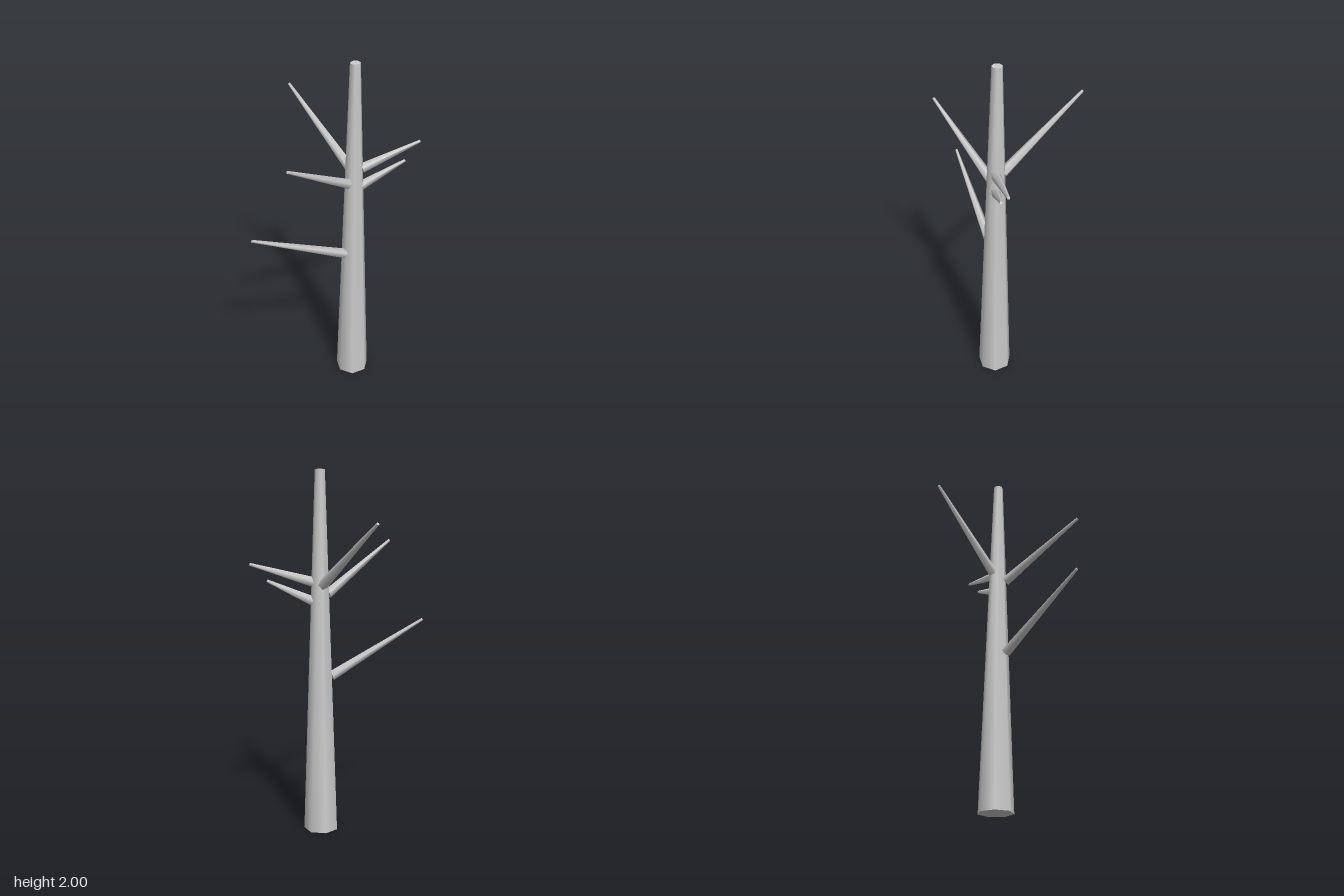
import * as THREE from 'three';

const bark = new THREE.MeshStandardMaterial({ color: 0xcccccc });
bark.name = 'grey bark';

// Tapered limb running from one point to another
function limb(name, from, to, r0, r1, sides, turn = 0) {
  const a = new THREE.Vector3(...from);
  const b = new THREE.Vector3(...to);
  const dir = b.clone().sub(a);
  const geo = new THREE.CylinderGeometry(r1, r0, dir.length(), sides, 1, false, turn);
  const mesh = new THREE.Mesh(geo, bark);
  mesh.name = name;
  mesh.position.copy(a).add(b).multiplyScalar(0.5);
  mesh.quaternion.setFromUnitVectors(new THREE.Vector3(0, 1, 0), dir.normalize());
  return mesh;
}

export function createModel() {
  const tree = new THREE.Group();
  tree.name = 'bareTree';

  // Seven-sided trunk with one corner towards -x
  tree.add(limb('trunk', [0.062, 0, -0.082], [0.062, 2, -0.082], 0.097, 0.028, 7, Math.PI * 1.5));

  // Branches start at the trunk surface: base, tip, base radius
  const branches = [
    ['lowFrontBranch', [0.02, 0.88, -0.03], [-0.387, 1.167, 0.36], 0.029],
    ['highFrontBranch', [0.04, 1.335, -0.035], [-0.173, 1.613, 0.386], 0.028],
    ['backBranch', [0.037, 1.39, -0.11], [-0.367, 1.726, -0.387], 0.029],
    ['upperSideBranch', [0.1, 1.405, -0.095], [0.386, 1.505, -0.28], 0.028],
    ['lowerSideBranch', [0.1, 1.3, -0.095], [0.317, 1.414, -0.215], 0.027],
  ];
  for (const [name, base, tip, r] of branches) tree.add(limb(name, base, tip, r, 0.008, 5));

  return tree;
}
